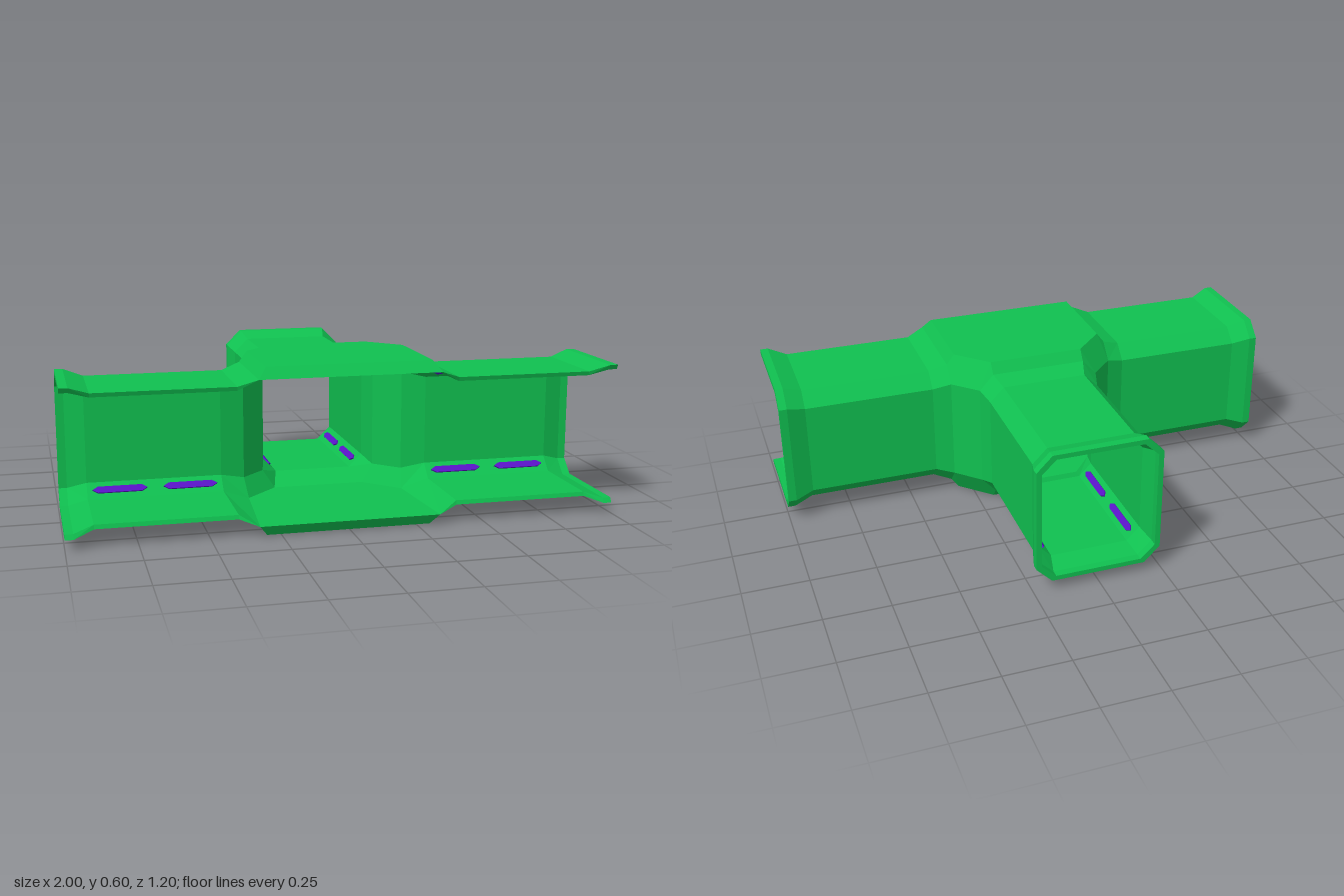
import * as THREE from 'three';

const MID_Y = 0.3; // the shell is mirrored above and below this height

// Stations of the side arm from its end to the hub:
// wall = plan position of the upright wall, edge = plan position of the roof edge,
// far = front edge of the roof, top = roof height, wallTop = upper end of the wall
const st = (wall, edge, far, top, wallTop) => ({ wall, edge, far, top, wallTop });

const OUTER = [
  st([1, 0.16], [1, 0.22], [1, 0.6], 0.56, 0.5),
  st([0.97, 0.16], [0.97, 0.22], [0.97, 0.6], 0.56, 0.5),
  st([0.9, 0.18], [0.9, 0.235], [0.9, 0.575], 0.535, 0.48),
  st([0.4, 0.18], [0.4, 0.235], [0.4, 0.575], 0.535, 0.48),
  st([0.33, 0.16], [0.33, 0.215], [0.33, 0.6], 0.56, 0.5),
  st([0.33, 0.16], [0.3, 0.215], [0.3, 0.57], 0.6, 0.5),
];
const INNER = [
  st([1, 0.18], [1, 0.235], [1, 0.59], 0.542, 0.49),
  st([0.97, 0.18], [0.97, 0.235], [0.97, 0.59], 0.542, 0.49),
  st([0.9, 0.2], [0.9, 0.25], [0.9, 0.57], 0.52, 0.47),
  st([0.4, 0.2], [0.4, 0.25], [0.4, 0.57], 0.52, 0.47),
  st([0.31, 0.18], [0.3, 0.225], [0.33, 0.6], 0.56, 0.49),
  st([0.31, 0.18], [0.3, 0.225], [0.33, 0.6], 0.56, 0.49),
];

// The back arm repeats the side arm across the diagonal of the hub
const flip = ([x, z]) => [0.4 - z, 0.4 - x];

function allStations(arm) {
  const back = arm.map((s) => {
    const edge = flip(s.edge);
    return st(flip(s.wall), edge, [0, edge[1]], s.top, s.wallTop);
  }).reverse();
  const hub = { ...back[0], far: [0, arm[5].far[1]] };
  return [...arm, hub, ...back];
}

// Cross-section from roof front, round the wall, to floor front
function section(s) {
  const upper = [[s.far, s.top], [s.edge, s.top], [s.wall, s.wallTop]];
  const lower = upper.map(([p, y]) => [p, 2 * MID_Y - y]).reverse();
  return [...upper, ...lower].map(([[x, z], y]) => new THREE.Vector3(x, y, z));
}

function shellGeometry() {
  const out = allStations(OUTER).map(section);
  const inn = allStations(INNER).map(section);
  const positions = [];
  const tri = (a, b, c) => {
    const area = b.clone().sub(a).cross(c.clone().sub(a)).length();
    if (area < 1e-7) return;
    for (const p of [a, b, c]) positions.push(p.x, p.y, p.z);
    for (const p of [a, c, b]) positions.push(-p.x, p.y, p.z);
  };
  const quad = (a, b, c, d) => { tri(a, b, c); tri(a, c, d); };

  const last = out.length - 1;
  for (let i = 0; i < last; i++) {
    for (let j = 0; j < 5; j++) {
      quad(out[i][j], out[i][j + 1], out[i + 1][j + 1], out[i + 1][j]);
      quad(inn[i][j], inn[i + 1][j], inn[i + 1][j + 1], inn[i][j + 1]);
    }
  }
  // rims at the arm ends
  for (let j = 0; j < 5; j++) {
    quad(out[0][j], inn[0][j], inn[0][j + 1], out[0][j + 1]);
    quad(out[last][j], out[last][j + 1], inn[last][j + 1], inn[last][j]);
  }
  // front rims of roof and floor, including the hub bevel
  for (let i = 0; i < 6; i++) {
    quad(out[i][0], out[i + 1][0], inn[i + 1][0], inn[i][0]);
    quad(out[i][5], inn[i][5], inn[i + 1][5], out[i + 1][5]);
  }
  const g = new THREE.BufferGeometry();
  g.setAttribute('position', new THREE.Float32BufferAttribute(positions, 3));
  g.computeVertexNormals();
  return g;
}

// Slim strip with pointed ends
function stripGeometry() {
  const outline = [[-0.1, 0], [-0.08, -0.013], [0.08, -0.013], [0.1, 0], [0.08, 0.013], [-0.08, 0.013]];
  const shape = new THREE.Shape(outline.map(([x, y]) => new THREE.Vector2(x, y)));
  const g = new THREE.ExtrudeGeometry(shape, { depth: 0.01, bevelEnabled: false });
  return g.translate(0, 0, -0.004);
}

export function createModel() {
  const model = new THREE.Group();
  model.name = 'corridorJunction';

  const shellMaterial = new THREE.MeshStandardMaterial({
    color: 0x10c050, flatShading: true, side: THREE.DoubleSide,
  });
  const shell = new THREE.Mesh(shellGeometry(), shellMaterial);
  shell.name = 'corridorShell';
  model.add(shell);

  // Light strips on the inner chamfers
  const lights = new THREE.Group();
  lights.name = 'lightStrips';
  const strip = stripGeometry();
  const lightMaterial = new THREE.MeshStandardMaterial({ color: 0x5a14c8 });
  const addStrip = (name, x, z, up, turn) => {
    const m = new THREE.Mesh(strip, lightMaterial);
    m.name = name;
    m.position.set(x, MID_Y + up * 0.195, z);
    m.rotation.set(up * Math.PI / 4, turn, 0, 'YXZ');
    lights.add(m);
  };
  for (const up of [1, -1]) {
    for (const side of [1, -1]) {
      for (const d of [0.52, 0.78]) {
        addStrip('sideArmLight', side * d, 0.225, up, 0);
        addStrip('backArmLight', side * 0.175, 0.4 - d, up, -side * Math.PI / 2);
      }
    }
  }
  model.add(lights);
  return model;
}
